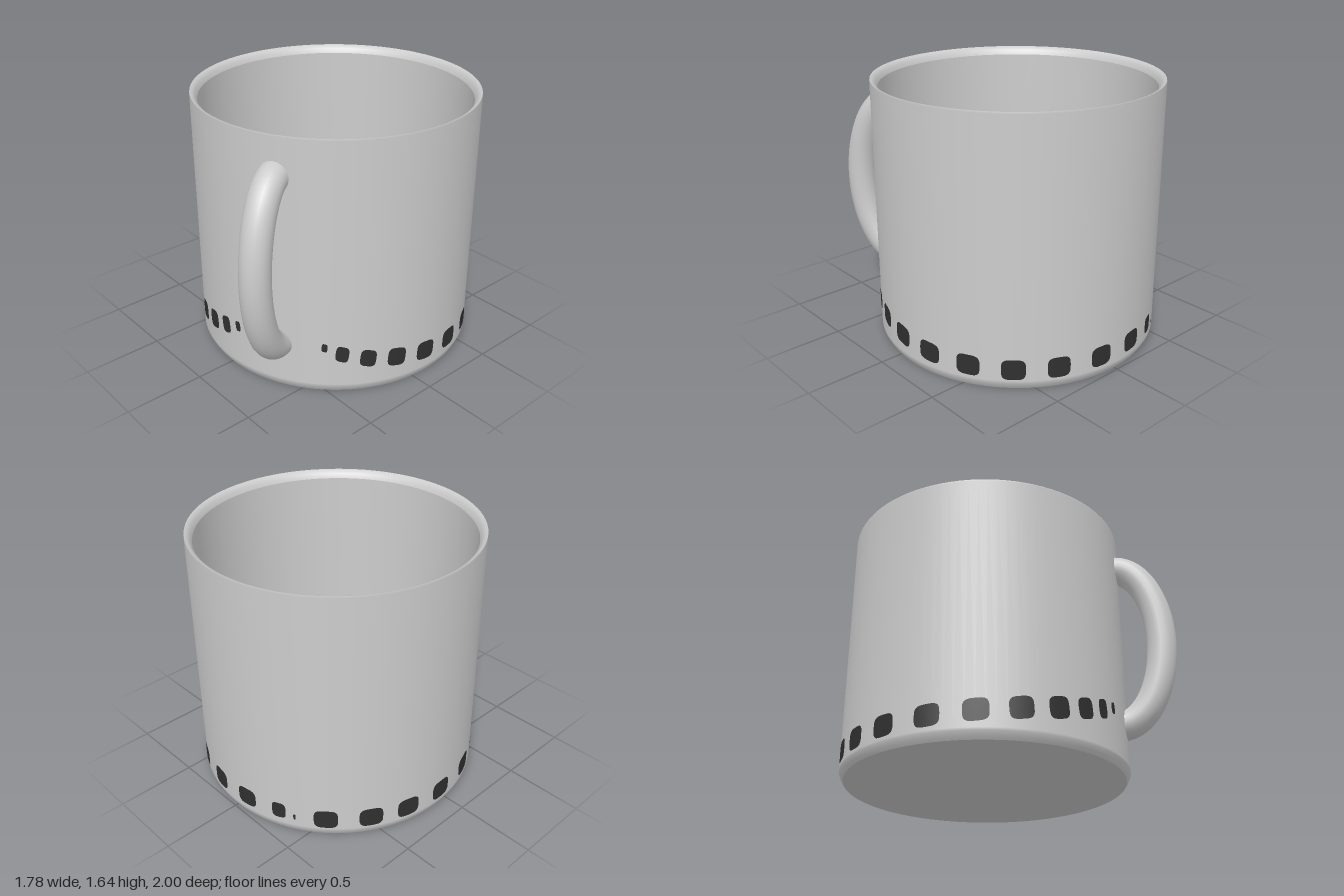
import * as THREE from 'three';

const R = 0.885, INNER = 0.84, H = 1.64, CENTRE_Z = -0.115;
const HANDLE_ANGLE = THREE.MathUtils.degToRad(25.7);

// Spots around the wall: angle from the front in degrees, height, width, tall, tilt in degrees
const SPOTS = [
  [44.4, 0.325, 0.035, 0.055, -15], [51.2, 0.28, 0.078, 0.105, -15], [61.3, 0.24, 0.098, 0.115, -13],
  [73.2, 0.21, 0.12, 0.125, -10], [87.1, 0.178, 0.137, 0.128, -7], [102.4, 0.157, 0.143, 0.128, -4],
  [119.1, 0.143, 0.142, 0.13, -2], [136.3, 0.135, 0.143, 0.13, 0], [153.4, 0.137, 0.137, 0.13, 1],
  [171.2, 0.143, 0.138, 0.13, 2], [188, 0.15, 0.138, 0.125, 2], [203, 0.15, 0.09, 0.11, 2],
  [209.5, 0.125, 0.015, 0.04, 0], [221.8, 0.135, 0.145, 0.13, 0], [239.4, 0.135, 0.145, 0.13, 0],
  [255, 0.135, 0.145, 0.13, 0], [272, 0.138, 0.145, 0.13, 1], [290.3, 0.145, 0.148, 0.13, 3],
  [307.7, 0.16, 0.145, 0.13, 5], [323.6, 0.18, 0.138, 0.13, 8], [337.8, 0.21, 0.125, 0.13, 11],
  [349.6, 0.245, 0.108, 0.125, 13], [359.4, 0.285, 0.078, 0.115, 15], [6.8, 0.325, 0.04, 0.068, 15],
];

// A rounded square bent around the wall
function spotGeometry([angle, height, width, tall, tilt]) {
  const g = new THREE.CircleGeometry(1, 32);
  const p = g.attributes.position, n = g.attributes.normal;
  const t = THREE.MathUtils.degToRad(tilt), a0 = THREE.MathUtils.degToRad(angle);
  const square = (v) => Math.sign(v) * Math.pow(Math.abs(v), 0.55);
  for (let i = 0; i < p.count; i++) {
    const u = square(p.getX(i)) * width / 2, v = square(p.getY(i)) * tall / 2;
    // shear along the band so each spot leans with it
    const a = a0 + (u - v * Math.sin(t) * 0.5) / R;
    p.setXYZ(i, Math.sin(a) * (R + 0.003), height + v + u * Math.tan(t), Math.cos(a) * (R + 0.003));
    n.setXYZ(i, Math.sin(a), 0, Math.cos(a));
  }
  return g;
}

export function createModel() {
  const glaze = new THREE.MeshStandardMaterial({ color: 0xcccccc });
  glaze.name = 'grey glaze';
  const paint = new THREE.MeshStandardMaterial({ color: 0x303030 });
  paint.name = 'dark paint';

  const mug = new THREE.Group();
  mug.name = 'mug';
  mug.position.z = CENTRE_Z;

  const add = (name, geometry, material, parent = mug) => {
    const mesh = new THREE.Mesh(geometry, material);
    mesh.name = name;
    parent.add(mesh);
    return mesh;
  };
  const lathe = (name, points) =>
    add(name, new THREE.LatheGeometry(points.map(([x, y]) => new THREE.Vector2(x, y)), 96), glaze);

  // Body, split where the edges are sharp
  lathe('base', [[0, 0], [0.86, 0]]);
  lathe('outerWall', [[0.86, 0], [0.872, 0.018], [R, 0.045], [R, 0.06], [R, H - 0.01], [R - 0.002, H]]);
  lathe('rim', [[R - 0.002, H], [0.868, H - 0.006], [0.851, H - 0.022], [INNER, H - 0.05]]);

  // Inside wall running into the floor through a rounded corner
  const inside = [[INNER, H - 0.05], [INNER, 1.25]];
  const corner = 0.2, floor = 0.09;
  for (let i = 0; i <= 8; i++) {
    const a = (i / 8) * Math.PI / 2;
    inside.push([INNER - corner + corner * Math.cos(a), floor + corner - corner * Math.sin(a)]);
  }
  inside.push([0, floor]);
  lathe('inside', inside);

  // Handle: half an ellipse whose ends sink into the wall
  const path = [];
  for (let i = 0; i <= 16; i++) {
    const a = -Math.PI / 2 + (i / 16) * Math.PI;
    path.push(new THREE.Vector3(0, 0.857 + 0.543 * Math.sin(a), 0.85 + 0.283 * Math.cos(a)));
  }
  const curve = new THREE.CatmullRomCurve3(path);
  const handle = add('handle', new THREE.TubeGeometry(curve, 48, 0.092, 20), glaze);
  handle.rotation.y = HANDLE_ANGLE;

  // Painted band of spots
  const spots = new THREE.Group();
  spots.name = 'paintedSpots';
  mug.add(spots);
  SPOTS.forEach((s, i) => add(`spot${i + 1}`, spotGeometry(s), paint, spots));

  const model = new THREE.Group();
  model.name = 'model';
  model.add(mug);
  return model;
}
